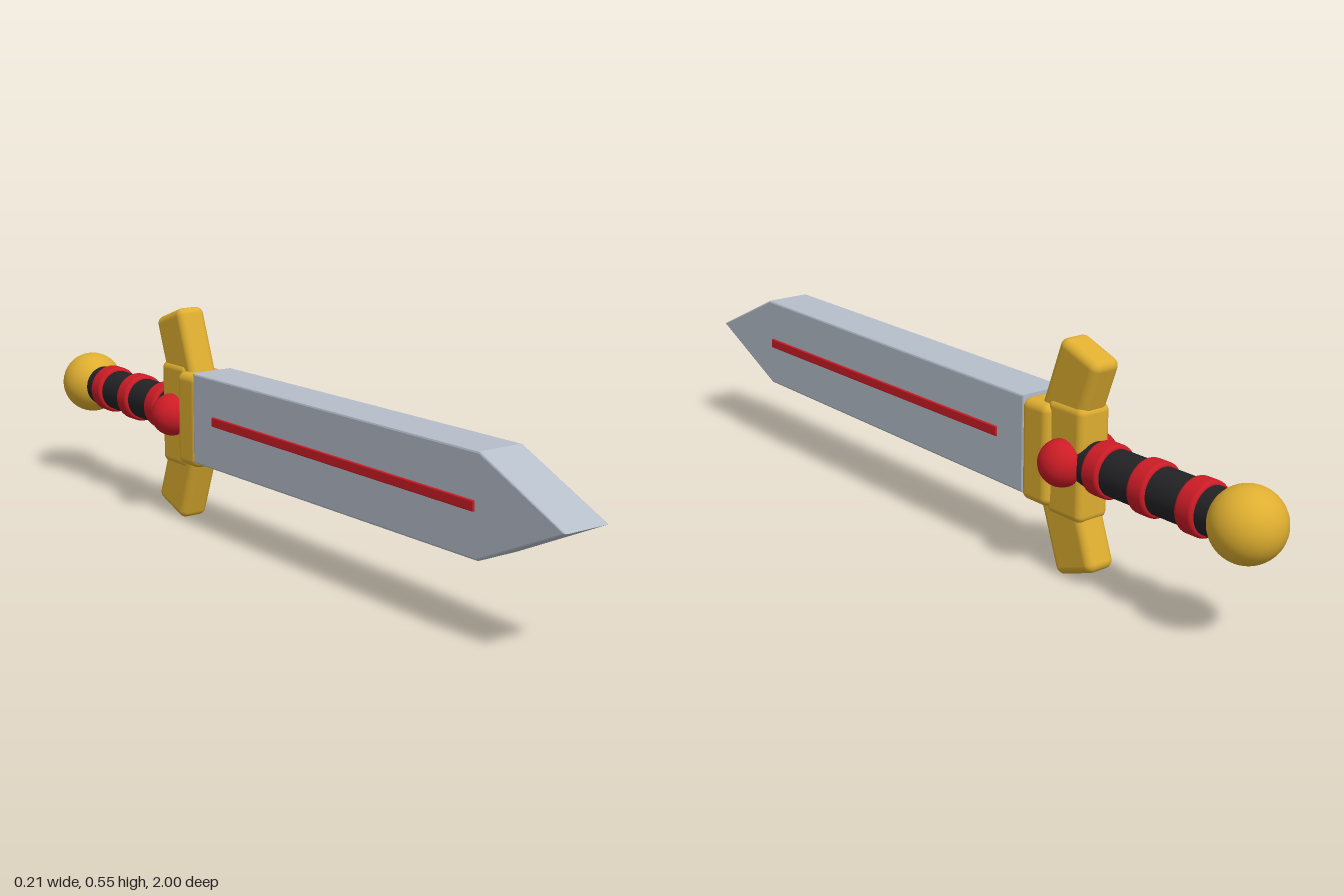
import * as THREE from 'three';
import { RoundedBoxGeometry } from 'three/addons/geometries/RoundedBoxGeometry.js';

const paint = (color) => new THREE.MeshStandardMaterial({ color });
const gold = paint(0xdeae30);
const red = paint(0xcc1c26);
const black = paint(0x232326);
const steel = paint(0xb6becb);

const AXIS_Y = 0.285; // height of the grip axis

export function createModel() {
  const group = new THREE.Group();

  function add(name, geometry, material, x = 0, y = AXIS_Y, z = 0) {
    const mesh = new THREE.Mesh(geometry, material);
    mesh.name = name;
    mesh.position.set(x, y, z);
    group.add(mesh);
    return mesh;
  }

  // Solid turned around the z axis, with rounded rims
  function turned(radius, length, round) {
    const points = [new THREE.Vector2(0, -length / 2)];
    for (const end of [-1, 1]) {
      for (let i = 0; i <= 4; i++) {
        const a = (end < 0 ? i - 4 : i) * Math.PI / 8;
        points.push(new THREE.Vector2(
          radius - round + round * Math.cos(a),
          end * (length / 2 - round) + round * Math.sin(a)));
      }
    }
    points.push(new THREE.Vector2(0, length / 2));
    return new THREE.LatheGeometry(points, 40).rotateX(Math.PI / 2);
  }

  // Blade: side outline (z, y) extruded across x with a fine bevel
  const outline = new THREE.Shape([
    [-0.3, 0.18], [0.755, 0.19], [1, 0.307], [0.755, 0.421], [-0.3, 0.414],
  ].map(([z, y]) => new THREE.Vector2(z, y)));
  const bevel = 0.005;
  const blade = new THREE.ExtrudeGeometry(outline, {
    depth: 0.12 - 2 * bevel, bevelEnabled: true, bevelSize: bevel,
    bevelThickness: bevel, bevelOffset: -bevel, bevelSegments: 2,
  });
  blade.translate(0, 0, -0.06 + bevel).rotateY(-Math.PI / 2);
  add('blade', blade, steel, 0, 0);

  // Red stripe showing on both faces of the blade
  add('bladeStripe', new RoundedBoxGeometry(0.13, 0.024, 0.955, 2, 0.003), red, 0, 0.305, 0.268);

  // Collar and centre of the guard
  add('collar', new RoundedBoxGeometry(0.12, 0.242, 0.09, 4, 0.02), gold, 0, 0.286, -0.334);
  add('guardCentre', new RoundedBoxGeometry(0.09, 0.27, 0.115, 4, 0.018), gold, 0, AXIS_Y, -0.417);

  // Guard arms leaning back, and the gems on both sides
  for (const side of [1, -1]) {
    const arm = add(side > 0 ? 'upperGuardArm' : 'lowerGuardArm',
      new RoundedBoxGeometry(0.078, 0.2, 0.127, 4, 0.02), gold,
      0, AXIS_Y + side * 0.167, -0.418);
    arm.rotation.x = -side * 0.35;

    add(side > 0 ? 'leftGem' : 'rightGem',
      new THREE.SphereGeometry(0.055, 32, 20), red, side * 0.048, AXIS_Y, -0.418);
  }

  // Grip with three bands, ending in a round pommel
  add('grip', turned(0.054, 0.44, 0.004), black, 0, AXIS_Y, -0.66);
  for (const z of [-0.516, -0.656, -0.795]) {
    add('gripBand', turned(0.063, 0.05, 0.009), red, 0, AXIS_Y, z);
  }
  add('pommel', new THREE.SphereGeometry(0.083, 40, 28), gold, 0, AXIS_Y, -0.917);

  return group;
}
